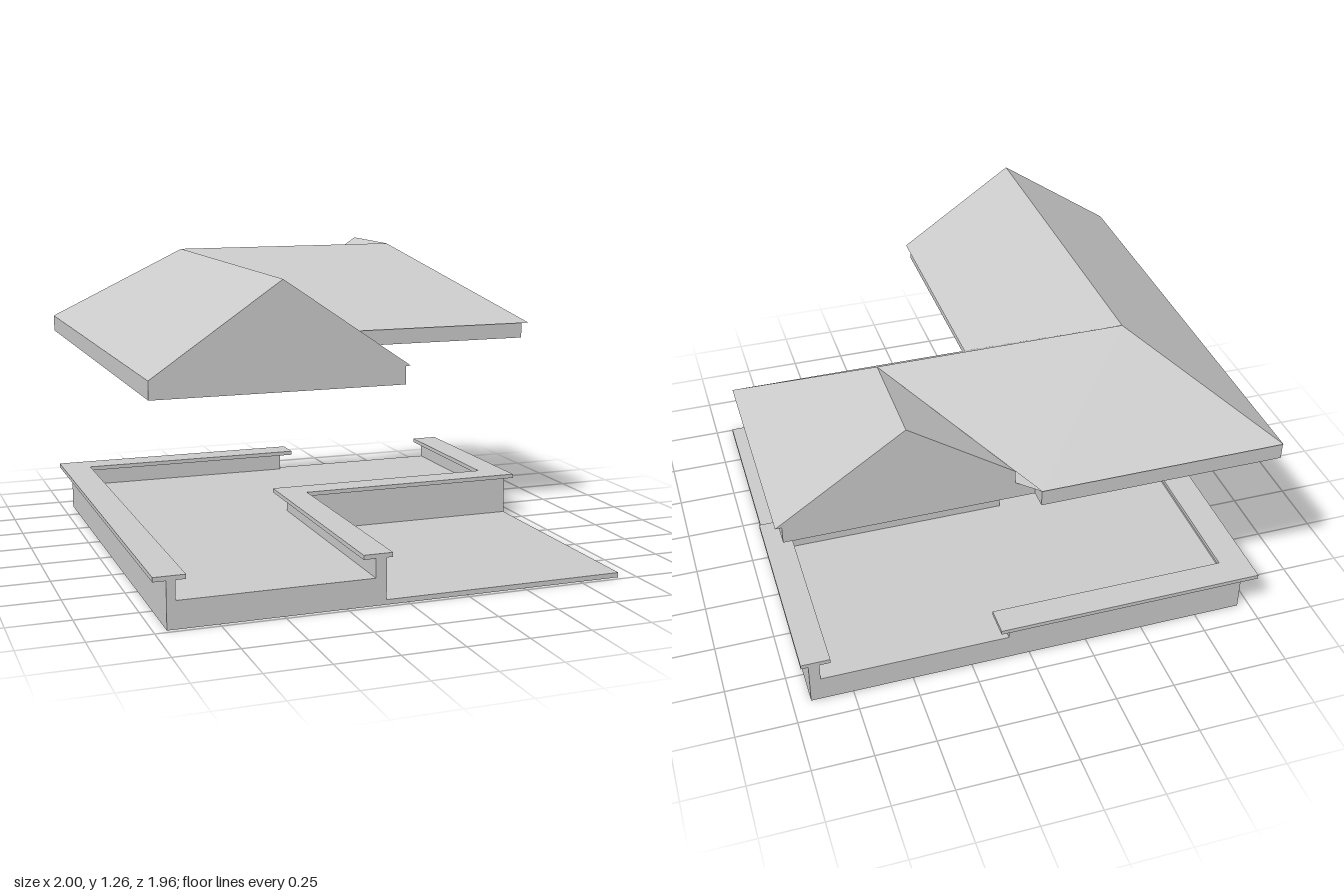
import * as THREE from 'three';

const material = new THREE.MeshStandardMaterial({ color: 0xcccccc, flatShading: true, side: THREE.DoubleSide });

// Plan outline given as [x, z] corners
function planShape(points) {
  return new THREE.Shape(points.map(([x, z]) => new THREE.Vector2(x, -z)));
}

// Prism standing on y0 and reaching y1
function prism(name, points, y0, y1) {
  const geometry = new THREE.ExtrudeGeometry(planShape(points), { depth: y1 - y0, bevelEnabled: false });
  geometry.rotateX(-Math.PI / 2).translate(0, y0, 0);
  const mesh = new THREE.Mesh(geometry, material);
  mesh.name = name;
  return mesh;
}

// Flat convex panel, corners counter-clockwise from outside
function panel(name, corners) {
  const positions = [];
  for (let i = 1; i < corners.length - 1; i++) {
    positions.push(...corners[0], ...corners[i], ...corners[i + 1]);
  }
  const geometry = new THREE.BufferGeometry();
  geometry.setAttribute('position', new THREE.Float32BufferAttribute(positions, 3));
  geometry.computeVertexNormals();
  const mesh = new THREE.Mesh(geometry, material);
  mesh.name = name;
  return mesh;
}

function createBase() {
  const base = new THREE.Group();
  base.name = 'base';
  const left = -0.95, right = 0.925, front = 0.98, back = -0.9;

  // Ground plate and raised L-shaped floor
  base.add(prism('groundPlate', [[left, front], [right, front], [right, back], [left, back]], 0, 0.02));
  base.add(prism('raisedFloor',
    [[left, front], [-0.09, front], [-0.09, -0.04], [right, -0.04], [right, back], [left, back]], 0.02, 0.11));

  // Low walls: outer corner and the stepped one around the courtyard
  base.add(prism('outerWall',
    [[left, front], [-0.915, front], [-0.915, -0.865], [0.09, -0.865], [0.09, back], [left, back]], 0.11, 0.187));
  base.add(prism('courtyardWall',
    [[-0.135, front], [-0.09, front], [-0.09, -0.04], [right, -0.04], [right, back],
      [0.88, back], [0.88, -0.085], [-0.135, -0.085]], 0.11, 0.187));

  // Wider caps on the walls
  base.add(prism('outerWallCap',
    [[-1, front], [-0.875, front], [-0.875, -0.83], [0.14, -0.83], [0.14, -0.95], [-1, -0.95]], 0.187, 0.205));
  base.add(prism('courtyardWallCap',
    [[-0.185, front], [-0.065, front], [-0.065, -0.01], [0.955, -0.01], [0.955, back],
      [0.835, back], [0.835, -0.13], [-0.185, -0.13]], 0.187, 0.205));
  return base;
}

function createRoof() {
  const roof = new THREE.Group();
  roof.name = 'roof';
  const e = 0.92, r = 1.26, v = 0.974; // eave, ridge, cut valley heights

  // Fascia block below the eaves
  roof.add(prism('fascia',
    [[-1, 0.98], [-0.02, 0.98], [-0.02, 0], [0.975, 0], [0.975, -0.9], [0, -0.9], [0, -0.975], [-1, -0.975]],
    0.85, e));

  // Flat soffit closing the overhang
  const soffitGeometry = new THREE.ShapeGeometry(planShape(
    [[-1, 0.98], [0, 0.98], [0, 0.02], [1, 0.02], [1, -0.9], [0.08, -0.9], [0, -0.98], [-1, -0.98]]));
  soffitGeometry.rotateX(-Math.PI / 2).translate(0, e, 0);
  const soffit = new THREE.Mesh(soffitGeometry, material);
  soffit.name = 'soffit';
  roof.add(soffit);

  // Slopes of the three wings
  roof.add(panel('frontWingOuterSlope', [[-1, e, 0.98], [-0.5, r, 0.98], [-0.5, r, -0.48], [-1, e, -0.98]]));
  roof.add(panel('frontWingInnerSlope', [[-0.5, r, 0.98], [0, e, 0.98], [0, e, 0.02], [-0.5, r, -0.48]]));
  roof.add(panel('middleFrontSlope', [[-0.5, r, -0.48], [0, e, 0.02], [1, e, 0.02], [0.5, r, -0.48]]));
  roof.add(panel('middleBackSlope', [[-0.5, r, -0.48], [0.5, r, -0.48], [0, e, -0.98], [-1, e, -0.98]]));
  roof.add(panel('backWingOuterSlope', [[0.5, r, -0.48], [1, e, 0.02], [1, e, -0.9], [0.5, r, -0.9]]));
  roof.add(panel('backWingInnerSlope', [[0.5, r, -0.48], [0.5, r, -0.9], [0.08, v, -0.9]]));

  // Gable ends
  roof.add(panel('frontGable', [[-1, e, 0.98], [0, e, 0.98], [-0.5, r, 0.98]]));
  roof.add(panel('backGable', [[1, e, -0.9], [0.08, e, -0.9], [0.08, v, -0.9], [0.5, r, -0.9]]));
  return roof;
}

export function createModel() {
  const model = new THREE.Group();
  model.name = 'houseWithRaisedRoof';
  model.add(createBase(), createRoof());
  return model;
}
